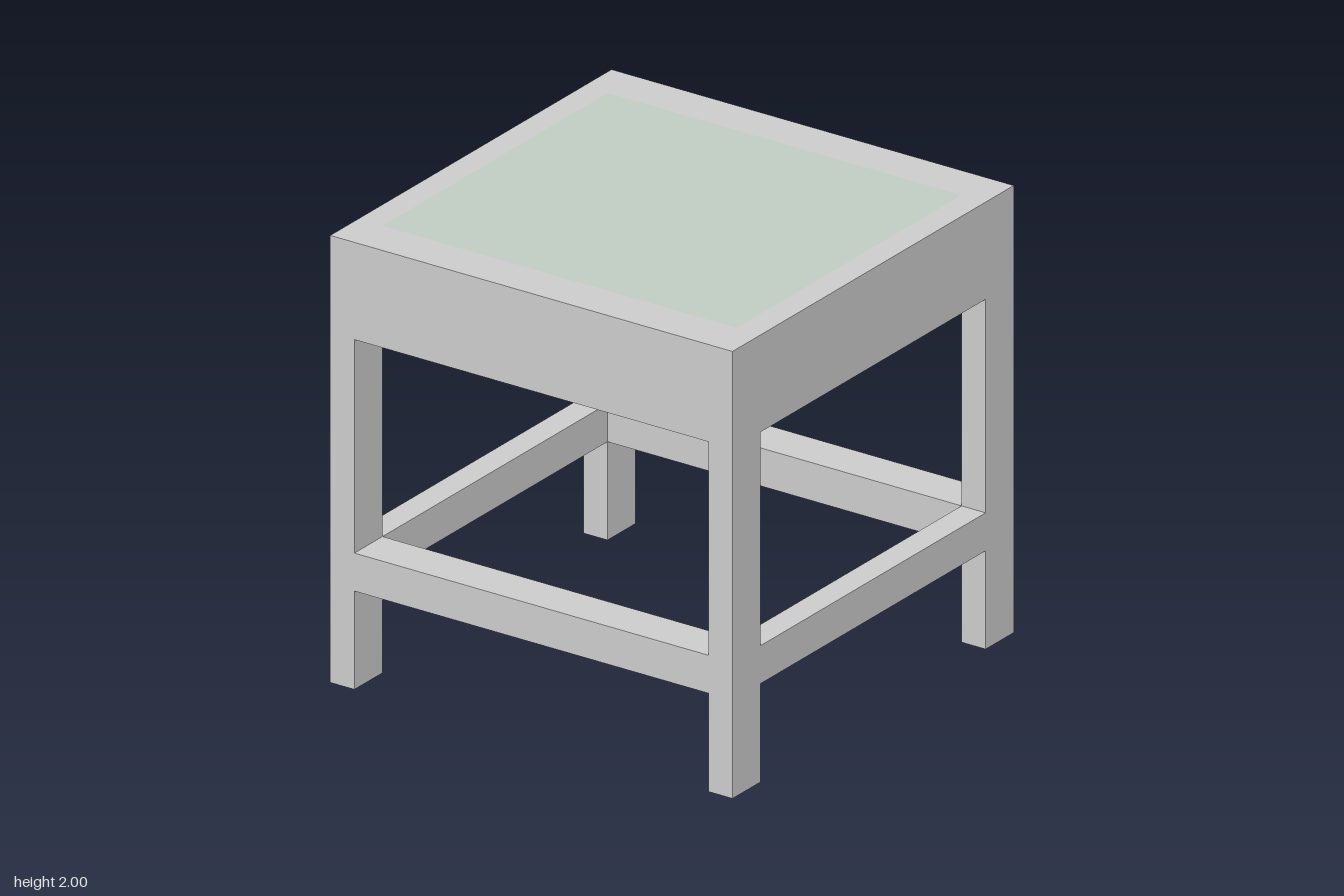
import * as THREE from 'three';

const LEG_X = 0.12, LEG_Z = 0.2; // leg section, shared by the rails
const APRON = [1.565, 2], STRETCHER = [0.44, 0.61]; // bottom and top heights

export function createModel() {
  const model = new THREE.Group();
  model.name = 'stool';
  const frame = new THREE.MeshStandardMaterial({ color: 0xcccccc });
  const panel = new THREE.MeshStandardMaterial({ color: 0xc0ccc2 });

  const box = (name, x, z, w, d, [y0, y1], material = frame) => {
    const mesh = new THREE.Mesh(new THREE.BoxGeometry(w, y1 - y0, d), material);
    mesh.position.set(x, (y0 + y1) / 2, z);
    mesh.name = name;
    model.add(mesh);
  };

  const innerW = 2 - 2 * LEG_X, innerD = 2 - 2 * LEG_Z;
  const legX = 1 - LEG_X / 2, legZ = 1 - LEG_Z / 2;

  // Four corner legs
  for (const sx of [-1, 1])
    for (const sz of [-1, 1])
      box(`${sz > 0 ? 'front' : 'back'}${sx > 0 ? 'Left' : 'Right'}Leg`, sx * legX, sz * legZ, LEG_X, LEG_Z, [0, 2]);

  // Deep aprons and low stretchers, flush with the legs
  for (const [part, span] of [['Apron', APRON], ['Stretcher', STRETCHER]])
    for (const s of [-1, 1]) {
      box((s > 0 ? 'front' : 'back') + part, 0, s * legZ, innerW, LEG_Z, span);
      box((s > 0 ? 'left' : 'right') + part, s * legX, 0, LEG_X, innerD, span);
    }

  // Thin seat panel set flush inside the aprons
  box('seatPanel', 0, 0, innerW, innerD, [1.99, 2], panel);

  return model;
}
